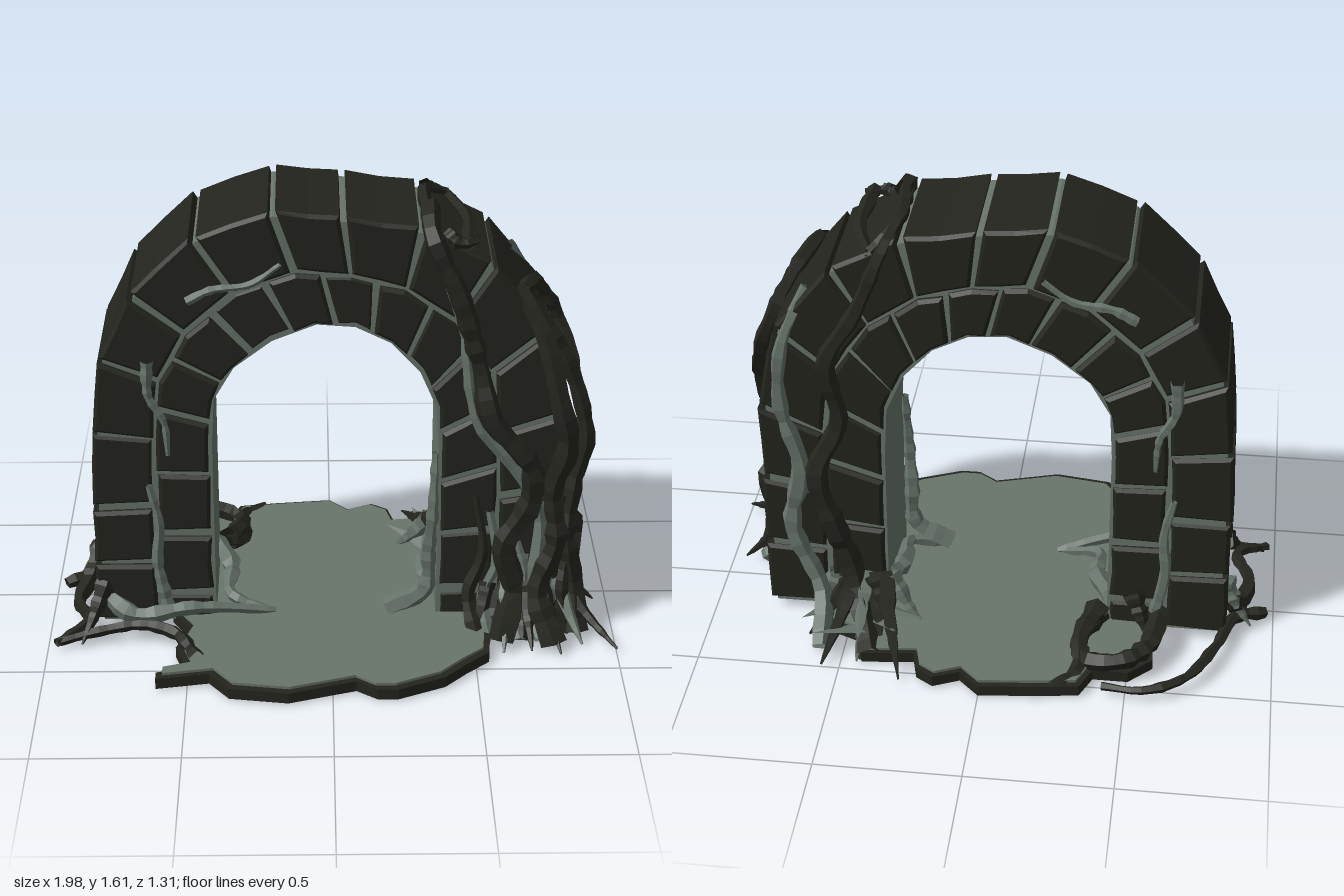
import * as THREE from 'three';

const mat = (color) => new THREE.MeshStandardMaterial({ color, flatShading: true, side: THREE.DoubleSide });
const stoneMat = mat(0x24241e), mortarMat = mat(0x68746a), rootMat = mat(0x25261f), paleRootMat = mat(0x66736a);

// Arch stations, foot to foot: inner x, inner y, outer x, outer y
const stations = [
  [-.41, .04, -.83, .04], [-.41, .28, -.83, .28], [-.41, .52, -.83, .50], [-.41, .75, -.82, .80],
  [-.40, .92, -.79, 1.08], [-.33, 1.04, -.67, 1.32], [-.20, 1.14, -.46, 1.52], [-.05, 1.20, -.20, 1.61],
  [.08, 1.19, .04, 1.59], [.20, 1.13, .30, 1.55], [.30, 1.02, .54, 1.43], [.36, .88, .74, 1.18],
  [.37, .70, .80, .87], [.37, .50, .80, .58], [.37, .28, .80, .30], [.37, .04, .80, .04],
];
const LAST = stations.length - 1;

let seed = 7;
const rand = () => (seed = (seed * 16807) % 2147483647) / 2147483647;
const jitter = (a) => (rand() - 0.5) * 2 * a;

// Point on the arch: t along the stations, f from inner (0) to outer (1) face
function archPoint(t, f) {
  t = Math.min(LAST, Math.max(0, t));
  const i = Math.min(LAST - 1, Math.floor(t)), k = t - i;
  const [a, b, c, d] = stations[i].map((v, n) => v + (stations[i + 1][n] - v) * k);
  return new THREE.Vector2(a + (c - a) * f, b + (d - b) * f);
}

function add(parent, name, geometry, material) {
  const mesh = new THREE.Mesh(geometry, material);
  mesh.name = name;
  parent.add(mesh);
  return mesh;
}

// Bevelled block between two joints of the arch
function stone(parent, name, t0, t1, f0, f1, z0, z1) {
  const b = 0.012, g = 0.045;
  const corners = [[t0 + g, f0], [t0 + g, f1], [(t0 + t1) / 2, f1], [t1 - g, f1], [t1 - g, f0], [(t0 + t1) / 2, f0]]
    .map(([t, f]) => archPoint(t + jitter(.03), f + jitter(.012)));
  const geo = new THREE.ExtrudeGeometry(new THREE.Shape(corners), {
    depth: z1 - z0 - 2 * b, bevelEnabled: true, bevelSize: b, bevelOffset: -b, bevelThickness: b, bevelSegments: 1,
  });
  geo.translate(0, 0, z0 + b);
  add(parent, name, geo, stoneMat);
}

// Knotty root: tapered tube along a curve
function root(parent, name, pts, r0, r1, material = rootMat) {
  const curve = new THREE.CatmullRomCurve3(pts.map((p) => new THREE.Vector3(...p)));
  const n = pts.length * 4, sides = 5;
  const geo = new THREE.TubeGeometry(curve, n, 1, sides, false);
  const pos = geo.attributes.position, v = new THREE.Vector3();
  for (let i = 0; i <= n; i++) {
    const c = curve.getPointAt(i / n);
    const r = (r0 + (r1 - r0) * i / n) * (1 + jitter(.2));
    for (let j = 0; j <= sides; j++) {
      const k = i * (sides + 1) + j;
      v.fromBufferAttribute(pos, k).sub(c).multiplyScalar(r).add(c);
      pos.setXYZ(k, v.x, Math.max(.005, v.y), v.z);
    }
  }
  geo.computeVertexNormals();
  add(parent, name, geo, material);
}

// Flat outline in x,z extruded upward
function plate(parent, name, pts, y, h, material, scale = 1) {
  const shape = new THREE.Shape(pts.map(([x, z]) => new THREE.Vector2(x * scale, -z * scale)));
  const geo = new THREE.ExtrudeGeometry(shape, { depth: h, bevelEnabled: false });
  geo.rotateX(-Math.PI / 2).translate(0, y, 0);
  add(parent, name, geo, material);
}

export function createModel() {
  const model = new THREE.Group();
  const group = (name) => { const g = new THREE.Group(); g.name = name; model.add(g); return g; };

  // Ground slab: pale paving on a dark base
  const ground = group('ground');
  const outline = [
    [-.57, -.2], [-.58, -.38], [-.5, -.46], [-.38, -.46], [-.34, -.55], [-.2, -.57], [0, -.59], [.07, -.52], [.16, -.56],
    [.22, -.52], [.24, -.44], [.42, -.46], [.45, -.35], [.57, -.3], [.58, .2], [.55, .35], [.54, .46], [.46, .53],
    [.38, .61], [.22, .68], [.15, .68], [.08, .63], [-.02, .66], [-.15, .7], [-.35, .67], [-.42, .58], [-.6, .61],
    [-.6, .57], [-.5, .54], [-.54, .42], [-.5, .3], [-.56, .2],
  ];
  plate(ground, 'slabBase', outline, .012, .04, stoneMat, 1.012);
  plate(ground, 'paving', outline, .05, .012, mortarMat, .975);

  // Mortar core, standing slightly proud of the stones inside the opening
  const arch = group('arch');
  const inner = stations.map((_, i) => archPoint(i, 0));
  const outer = stations.map((_, i) => archPoint(i, .95)).reverse();
  const core = new THREE.ExtrudeGeometry(new THREE.Shape([...inner, ...outer]), { depth: .4, bevelEnabled: false });
  core.translate(0, 0, -.18);
  add(arch, 'mortarCore', core, mortarMat);

  // Two staggered rings of stones
  for (let i = 0; i < LAST; i++) {
    const zs = .03 + jitter(.03), leg = i < 3 || i > 10;
    if (leg) {
      stone(arch, 'outerStoneFront', i, i + 1, .5, 1, zs + .006, .235 + jitter(.008));
      stone(arch, 'outerStoneBack', i, i + 1, .5, 1, -.195 + jitter(.008), zs - .006);
    } else stone(arch, 'outerStone', i, i + 1, .49, 1, -.2 + jitter(.006), .24 + jitter(.006));
  }
  for (let i = 0; i <= LAST; i++) {
    const t0 = Math.max(0, i - .5), t1 = Math.min(LAST, i + .5);
    stone(arch, 'innerStone', t0, t1, .025, .46, -.195 + jitter(.008), .232 + jitter(.008));
  }

  // Roots climbing the left leg, front, outer side and back
  const vines = group('climbingRoots');
  root(vines, 'frontMainRoot', [[.33, 1.58, .1], [.33, 1.53, .24], [.42, 1.33, .27], [.5, 1.05, .27], [.54, .88, .31], [.68, .7, .3],
    [.69, .55, .28], [.6, .38, .29], [.64, .2, .28], [.6, .03, .36]], .03, .045);
  root(vines, 'frontPaleRoot', [[.36, 1.45, .25], [.44, 1.2, .25], [.5, .85, .25], [.62, .68, .25], [.72, .5, .25], [.7, .1, .27]], .018, .03, paleRootMat);
  root(vines, 'frontOuterRoot', [[.62, 1.33, .2], [.7, 1.2, .27], [.77, .95, .33], [.8, .8, .32], [.76, .6, .28], [.78, .4, .29], [.72, .2, .3], [.78, .03, .38]], .03, .045);
  root(vines, 'sideRoot', [[.64, 1.33, .22], [.7, 1.28, .05], [.78, 1.12, -.03], [.84, .95, .04], [.87, .8, .14],
    [.86, .65, .2], [.81, .5, .18], [.87, .36, .12], [.85, .2, .16], [.88, .03, .14]], .025, .03);
  root(vines, 'cornerRoot', [[.68, 1.28, .23], [.8, 1.05, .23], [.87, .8, .24], [.84, .6, .22], [.82, .4, .24], [.85, .2, .23], [.87, .03, .3]], .025, .04);
  root(vines, 'backRoot', [[.32, 1.57, -.1], [.36, 1.5, -.21], [.45, 1.28, -.24], [.55, 1.1, -.25], [.52, .85, -.22], [.6, .65, -.25],
    [.55, .45, -.25], [.5, .25, -.22], [.45, .1, -.29], [.4, .03, -.45]], .025, .045);
  root(vines, 'backOuterRoot', [[.62, 1.33, -.15], [.7, 1.15, -.22], [.72, .9, -.22], [.66, .65, -.22], [.7, .4, -.22], [.6, .15, -.25], [.58, .03, -.42]], .02, .04, paleRootMat);
  root(vines, 'topLoop', [[.33, 1.54, .2], [.32, 1.56, -.1], [.4, 1.5, -.2]], .028, .02);
  root(vines, 'topLoop', [[.45, 1.5, .24], [.46, 1.49, 0], [.4, 1.5, -.2]], .025, .02);
  root(vines, 'topTwig', [[.38, 1.52, .2], [.42, 1.5, .24], [.48, 1.5, .22]], .03, .01);
  for (let i = 0; i < 6; i++) {
    const z = .24 - i * .035, h = .55 - i * .06;
    root(vines, 'sideTendril', [[.8, h, z], [.83, h * .65, z - .02], [.81, h * .35, z + .03], [.86 + jitter(.03), .02, z + .03]], .012, .03, i % 2 ? paleRootMat : rootMat);
    const x = .5 + i * .05;
    root(vines, 'frontTendril', [[x, h, .24], [x + .03, h * .6, .25], [x - .02, h * .3, .26], [x + jitter(.04), .02, .34]], .012, .03, i % 2 ? paleRootMat : rootMat);
  }
  root(vines, 'innerRoot', [[.36, .7, .2], [.35, .45, .22], [.34, .3, .2], [.33, .15, .2], [.2, .07, .2]], .015, .035, paleRootMat);

  // Thin pale roots in the joints of the right leg
  [.245, -.205].forEach((z) => {
    root(vines, 'jointRoot', [[-.62, 1.08, z], [-.62, .95, z], [-.57, .85, z], [-.56, .72, z]], .022, .008, paleRootMat);
    root(vines, 'jointRoot', [[-.63, .6, z], [-.6, .45, z], [-.61, .3, z], [-.58, .12, z]], .012, .025, paleRootMat);
    root(vines, 'jointRoot', [[-.48, 1.3, z], [-.4, 1.34, z], [-.27, 1.36, z], [-.17, 1.43, z]], .018, .01, paleRootMat);
  });

  // Roots spreading over the ground
  const spread = group('groundRoots');
  root(spread, 'looseRoot', [[-.97, .03, -.04], [-.87, .05, -.1], [-.8, .06, -.3], [-.7, .06, -.48], [-.56, .05, -.55], [-.42, .04, -.53]], .025, .014);
  root(spread, 'sideRoot', [[-.85, .14, -.14], [-.88, .06, -.02], [-.91, .05, .12], [-.86, .06, .26], [-.97, .03, .36]], .035, .015);
  root(spread, 'frontRoot', [[-.96, .03, .35], [-.8, .06, .32], [-.66, .08, .32], [-.55, .07, .36], [-.47, .06, .5]], .015, .025);
  root(spread, 'frontRoot', [[-.82, .16, .2], [-.7, .1, .28], [-.5, .12, .27], [-.36, .1, .24], [-.2, .06, .2]], .04, .015, paleRootMat);
  root(spread, 'backLoop', [[-.6, .12, -.2], [-.57, .1, -.36], [-.48, .1, -.46], [-.36, .08, -.44], [-.33, .06, -.3], [-.4, .1, -.2]], .035, .03);
  root(spread, 'backRoot', [[-.38, .12, -.2], [-.33, .1, -.35], [-.33, .06, -.48], [-.25, .05, -.56]], .04, .015);
  root(spread, 'innerFoot', [[-.42, .14, -.15], [-.36, .12, 0], [-.36, .1, .15], [-.22, .06, .2]], .04, .015, paleRootMat);
  root(spread, 'innerFoot', [[.38, .14, -.15], [.34, .12, 0], [.34, .1, .15], [.2, .06, .2]], .04, .015, paleRootMat);

  // Pointed root tips: x, z of the start, then x, z of the tip
  [
    [.36, -.2, .22, -.28], [.38, -.2, .28, -.56], [.42, -.22, .3, -.4], [.45, -.2, .44, -.48], [.48, -.2, .56, -.51],
    [.5, -.2, .63, -.35], [.55, -.2, .6, -.22], [.42, -.2, .36, -.42], [.55, .24, .5, .34], [.62, .24, .6, .43],
    [.68, .24, .7, .42], [.74, .24, .8, .44], [.8, .22, .88, .38], [.8, .2, 1, .41], [.8, .08, .95, .08],
    [.8, .15, .9, .2], [-.8, .22, -.88, .36], [-.5, -.2, -.58, -.28], [-.82, -.1, -.92, -.12],
  ].forEach(([x, z, tx, tz], i) => {
    root(spread, 'rootTip', [[x, .2, z], [(x + tx) / 2, .1, (z + tz) / 2], [tx, .025, tz]], .04, .004, i % 3 ? rootMat : paleRootMat);
  });
  // Curled leaf shards on the back ground
  [[.52, -.4, .5], [.6, -.3, 1], [.36, -.34, 2], [.3, -.28, 2.6]].forEach(([x, z, a]) => {
    const leaf = add(spread, 'shard', new THREE.ConeGeometry(.06, .2, 4), paleRootMat);
    leaf.scale.set(1, 1, .25);
    leaf.position.set(x, .09, z);
    leaf.rotation.set(-1.2, 0, a - 1.5);
  });
  return model;
}
